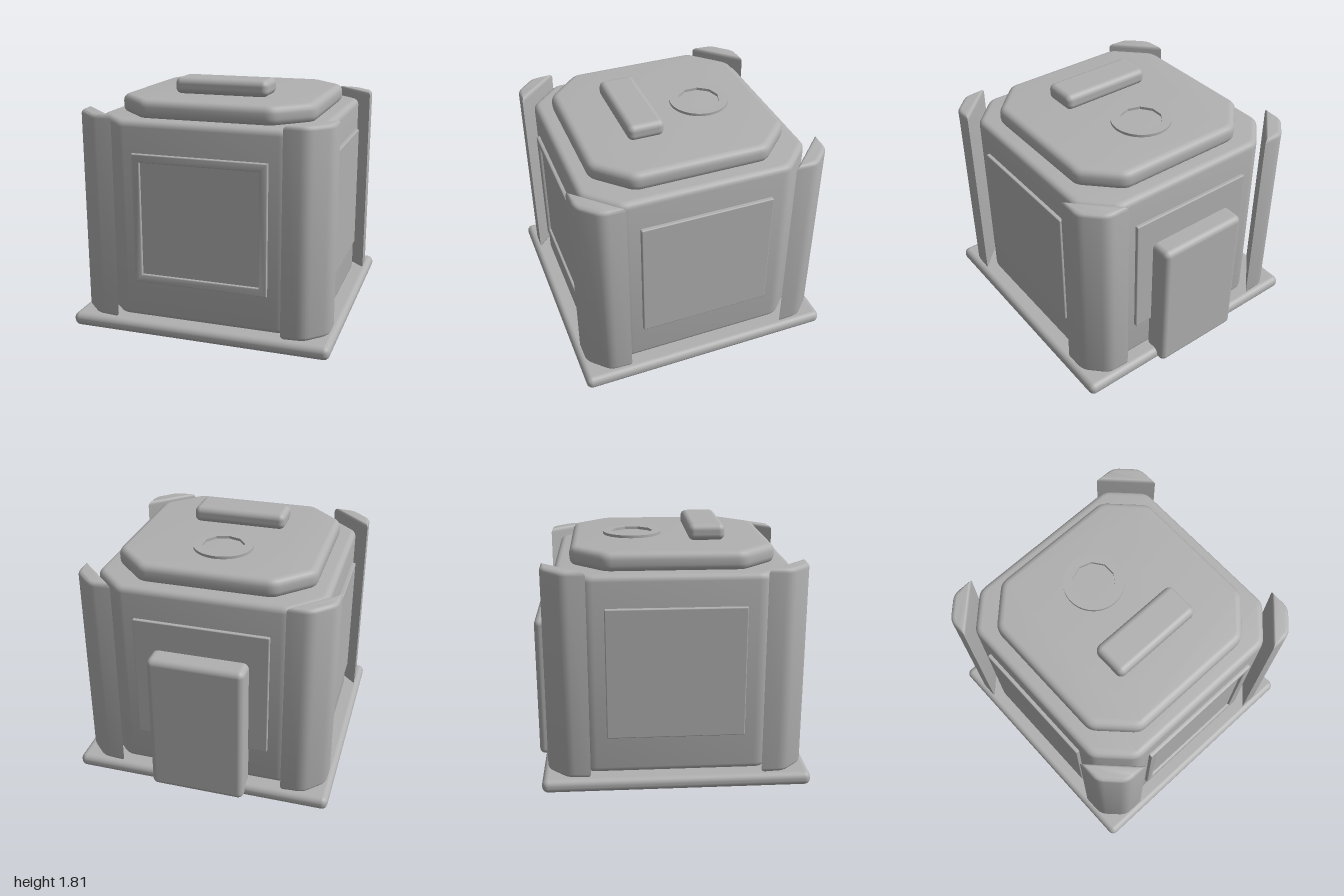
import * as THREE from 'three';
import { toCreasedNormals } from 'three/addons/utils/BufferGeometryUtils.js';
import { RoundedBoxGeometry } from 'three/addons/geometries/RoundedBoxGeometry.js';

const CZ = 0.025; // centre of the cabin along z
const grey = new THREE.MeshStandardMaterial({ color: 0xb0b0b0 });
grey.name = 'plain grey';

// Outline from [x, z, cornerCut] points; corners with a cut are softened
function outline(points) {
  const pts = points.map(([x, z]) => new THREE.Vector2(x, -z));
  const shape = new THREE.Shape();
  pts.forEach((p, i) => {
    const cut = points[i][2] || 0;
    const toward = (q) => p.clone().add(q.clone().sub(p).setLength(cut));
    const a = toward(pts[(i + pts.length - 1) % pts.length]);
    const b = toward(pts[(i + 1) % pts.length]);
    if (i === 0) shape.moveTo(a.x, a.y);
    else shape.lineTo(a.x, a.y);
    if (cut) shape.quadraticCurveTo(p.x, p.y, b.x, b.y);
  });
  shape.closePath();
  return shape;
}

// Upright block with rounded top and bottom edges
function block(shape, y0, y1, bevel) {
  const geo = new THREE.ExtrudeGeometry(shape, {
    depth: y1 - y0 - 2 * bevel, bevelEnabled: true, bevelThickness: bevel,
    bevelSize: bevel, bevelOffset: -bevel, bevelSegments: 4, curveSegments: 4,
  });
  geo.rotateX(-Math.PI / 2);
  geo.translate(0, y0 + bevel, 0);
  return toCreasedNormals(geo, 0.6);
}

function octagon(hx, hz, c, cut) {
  return outline([
    [-hx + c, -hz, cut], [hx - c, -hz, cut], [hx, -hz + c, cut], [hx, hz - c, cut],
    [hx - c, hz, cut], [-hx + c, hz, cut], [-hx, hz - c, cut], [-hx, -hz + c, cut],
  ]);
}

export function createModel() {
  const model = new THREE.Group();
  model.name = 'cabin';
  const add = (name, geo, x = 0, y = 0, z = 0) => {
    const mesh = new THREE.Mesh(geo, grey);
    mesh.name = name;
    mesh.position.set(x, y, z);
    model.add(mesh);
    return mesh;
  };

  // Base slab, body and roof
  add('base', new RoundedBoxGeometry(1.94, 0.1, 1.94, 4, 0.045), 0, 0.05, 0.03);
  add('body', block(octagon(0.845, 0.85, 0.23, 0.05), 0.09, 1.56, 0.045), 0, 0, CZ);
  add('roof', block(octagon(0.733, 0.737, 0.25, 0.05), 1.55, 1.69, 0.05), 0, 0, CZ);

  // Four corner pillars standing just off the chamfered corners
  for (const sx of [-1, 1]) {
    for (const sz of [-1, 1]) {
      const shape = outline([
        [sx * 0.93, sz * 0.615], [sx * 0.93, sz * 0.78, 0.05],
        [sx * 0.78, sz * 0.93, 0.05], [sx * 0.615, sz * 0.93],
      ]);
      const side = (sz > 0 ? 'front' : 'back') + (sx > 0 ? 'Left' : 'Right');
      add(side + 'Pillar', block(shape, 0.1, 1.61, 0.03), 0, 0, CZ);
    }
  }

  // Flat wall panels on the sides and back
  const panel = new RoundedBoxGeometry(0.99, 0.955, 0.06, 2, 0.008);
  for (const s of [-1, 1]) {
    add(s > 0 ? 'leftPanel' : 'rightPanel', panel, s * 0.843, 0.853, CZ).rotation.y = Math.PI / 2;
  }
  add('backPanel', panel, 0, 0.853, -0.82);

  // Front window: raised frame around a recessed pane
  const frame = new THREE.Shape([[-0.49, -0.47], [0.49, -0.47], [0.49, 0.47], [-0.49, 0.47]]
    .map(([x, y]) => new THREE.Vector2(x, y)));
  frame.holes.push(new THREE.Path([[-0.447, -0.425], [-0.447, 0.425], [0.447, 0.425], [0.447, -0.425]]
    .map(([x, y]) => new THREE.Vector2(x, y))));
  const frameGeo = new THREE.ExtrudeGeometry(frame, {
    depth: 0.034, bevelThickness: 0.008, bevelSize: 0.008, bevelSegments: 2,
  });
  add('windowFrame', toCreasedNormals(frameGeo, 0.9), 0, 0.853, 0.86);
  add('windowPane', new THREE.BoxGeometry(0.9, 0.86, 0.02), 0, 0.853, 0.871);

  // Equipment box on the back
  add('backBox', new RoundedBoxGeometry(0.71, 1.1, 0.2, 4, 0.045), 0, 0.56, -0.9);

  // Roof bar and ring with a ten-sided opening
  add('roofBar', new RoundedBoxGeometry(0.71, 0.12, 0.27, 4, 0.045), 0, 1.75, 0.285);
  const ring = new THREE.Shape().absarc(0, 0, 0.22, 0, Math.PI * 2);
  const hole = [];
  for (let i = 0; i < 10; i++) {
    const a = Math.PI / 2 - (i * Math.PI) / 5;
    hole.push(new THREE.Vector2(0.155 * Math.cos(a), 0.155 * Math.sin(a)));
  }
  ring.holes.push(new THREE.Path(hole));
  const ringGeo = new THREE.ExtrudeGeometry(ring, { depth: 0.03, bevelEnabled: false, curveSegments: 32 });
  ringGeo.rotateX(-Math.PI / 2);
  add('roofRing', toCreasedNormals(ringGeo, 0.5), 0, 1.68, -0.25);

  return model;
}
